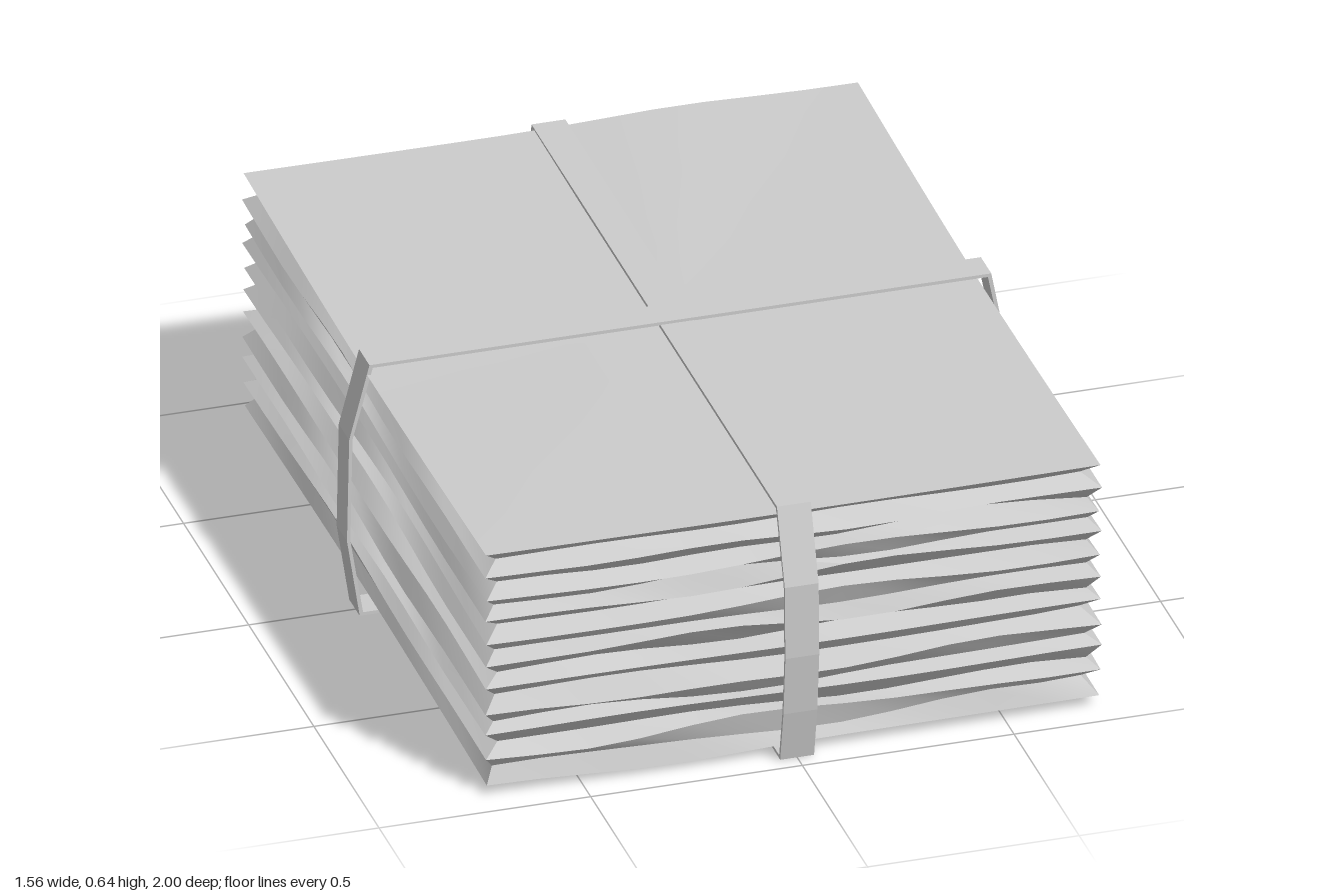
import * as THREE from 'three';
import { toCreasedNormals } from 'three/addons/utils/BufferGeometryUtils.js';

const HALF_X = 0.725, HALF_Z = 0.93, PLEATS = 11, SEGS = 12;
const material = () => new THREE.MeshStandardMaterial({ color: 0xcccccc, side: THREE.DoubleSide });

// Repeatable pseudo-random value in -1..1
const hash = (n) => {
  const s = Math.sin(n * 127.1 + 11.7) * 43758.5453;
  return (s - Math.floor(s)) * 2 - 1;
};

// Rectangle outline, counter-clockwise from above, starting at the front left corner
function outline() {
  const corners = [[-1, 1], [1, 1], [1, -1], [-1, -1]];
  const points = [];
  corners.forEach(([x, z], side) => {
    const [nx, nz] = corners[(side + 1) % 4];
    for (let i = 0; i < SEGS; i++) {
      const t = i / SEGS;
      points.push({ x: x + (nx - x) * t, z: z + (nz - z) * t, side, t });
    }
  });
  return points;
}

// Stack of crumpled sheets: zigzag rings up the sides, closed by gently uneven caps
function paperStack() {
  const path = outline();
  const last = 2 * PLEATS - 2;
  const rings = [];
  for (let j = 0; j <= last; j++) {
    const valley = j % 2 === 1;
    const base = 0.035 + 0.585 * j / last + (j > 0 && j < last ? 0.007 * hash(j) : 0);
    rings.push(path.map((p, i) => {
      const seed = j * 4 + p.side;
      const fade = Math.sin(Math.PI * p.t);
      const wave = fade * (hash(seed) * Math.sin(p.t * 6.28 + hash(seed + 90) * 3)
        + 0.6 * hash(seed + 200) * Math.sin(p.t * 12.5));
      let y = base + 0.018 * wave;
      if (j === last) y = base + (p.z < 0 ? 0.012 * -p.z : 0)
        + (p.side === 2 ? 0.014 * Math.exp(-(((p.x - 0.48) / 0.35) ** 2)) * fade : 0);
      if (j === 0) y = base - (p.z > 0 ? 0.008 * p.z : 0)
        - (p.side === 0 ? 0.018 * Math.exp(-(((p.x + 0.48) / 0.35) ** 2)) * fade : 0);
      if (j > 0) y = Math.max(y, rings[j - 1][i].y + 0.003);
      const inset = (valley ? 0.028 + 0.01 * hash(seed + 400) : 0.004 * hash(j + 50))
        - 0.008 * fade * hash(seed + 300);
      return new THREE.Vector3(p.x * (HALF_X - inset), y, p.z * (HALF_Z - inset));
    }));
  }
  // Keep the top sheet above every sheet below it
  const cap = (ring, centreY, s) => ring.map((v) =>
    new THREE.Vector3(v.x * s, centreY + (v.y - centreY) * s, v.z * s));
  const scales = [0, 0.35, 0.7];
  const all = [
    ...scales.map((s) => cap(rings[0], 0.028, s)),
    ...rings,
    ...scales.slice().reverse().map((s) => cap(rings[last], 0.625, s)),
  ];

  const n = path.length, positions = [], index = [];
  all.forEach((ring) => ring.forEach((v) => positions.push(v.x, v.y, v.z)));
  for (let j = 0; j < all.length - 1; j++) {
    for (let i = 0; i < n; i++) {
      const a = j * n + i, b = j * n + (i + 1) % n;
      if (j > 0) index.push(a, b, a + n);
      if (j < all.length - 2) index.push(b, b + n, a + n);
    }
  }
  const geometry = new THREE.BufferGeometry();
  geometry.setAttribute('position', new THREE.Float32BufferAttribute(positions, 3));
  geometry.setIndex(index);
  return toCreasedNormals(geometry, 0.5);
}

// Closed flat band: thin loop profile extruded to the strap width
function strap(points) {
  const width = 0.08, thickness = 0.008, midY = 0.32;
  const shape = new THREE.Shape(points.map(([u, y]) => new THREE.Vector2(u, y)));
  const inner = points.map(([u, y]) => new THREE.Vector2(
    u - Math.sign(u) * thickness, y - Math.sign(y - midY) * (Math.abs(y - midY) > 0.25 ? thickness : 0)));
  shape.holes.push(new THREE.Path(inner.reverse()));
  const geometry = new THREE.ExtrudeGeometry(shape, { depth: width, bevelEnabled: false });
  geometry.translate(0, 0, -width / 2);
  return geometry;
}

export function createModel() {
  const group = new THREE.Group();
  const add = (name, geometry) => {
    const mesh = new THREE.Mesh(geometry, material());
    mesh.name = name;
    group.add(mesh);
    return mesh;
  };

  add('paperStack', paperStack());

  // Strap running side to side, on top at the crossing
  add('crossStrap', strap([
    [-0.75, 0.004], [0.727, 0.004], [0.765, 0.17], [0.777, 0.24], [0.777, 0.46],
    [0.742, 0.645], [-0.727, 0.645], [-0.775, 0.46], [-0.78, 0.2],
  ]));

  // Strap running front to back
  add('lengthStrap', strap([
    [-0.935, 0], [0.96, 0], [0.985, 0.13], [1, 0.28], [0.995, 0.46],
    [0.935, 0.638], [-0.948, 0.638], [-0.99, 0.43], [-1, 0.23],
  ])).rotation.y = -Math.PI / 2;

  return group;
}
